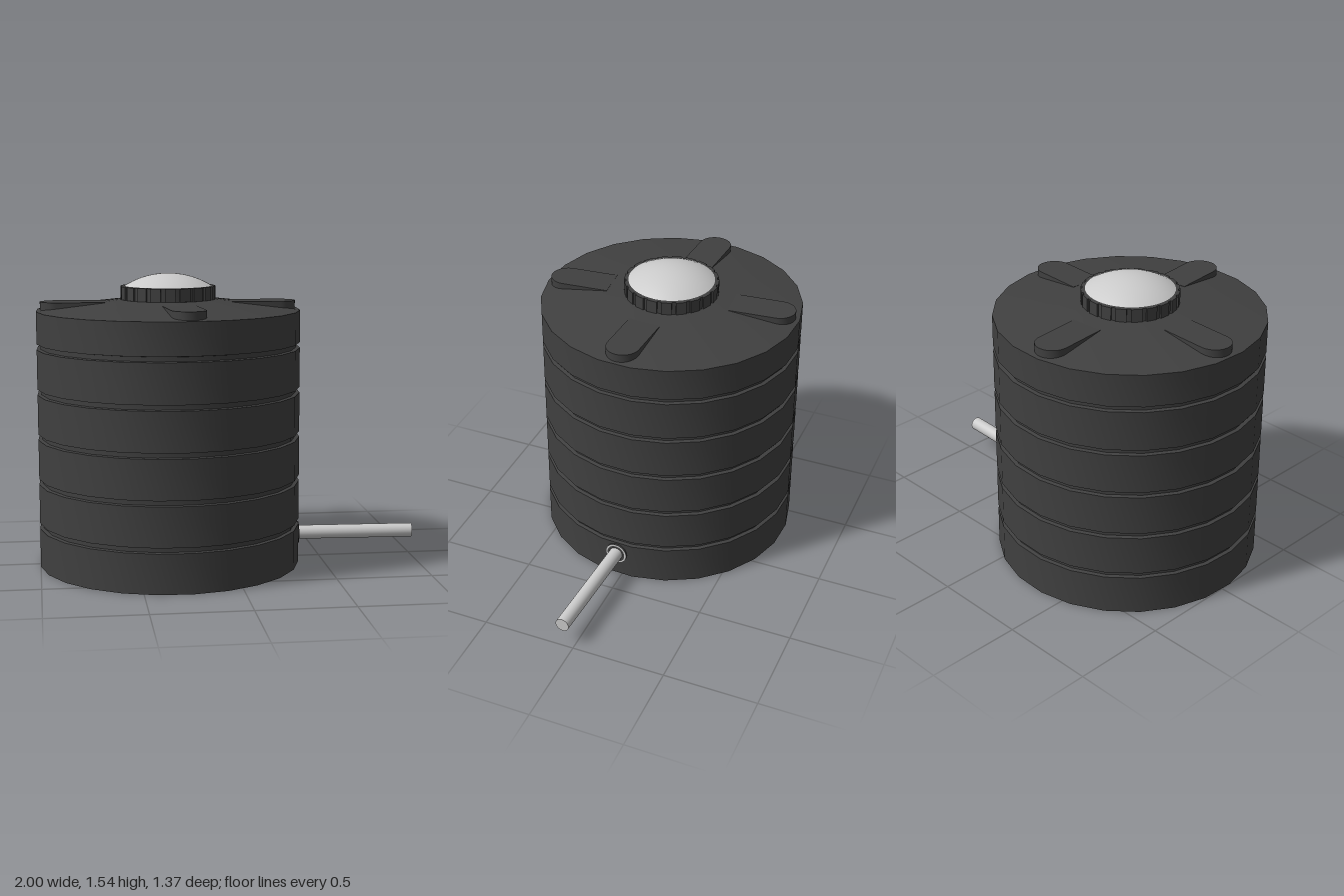
import * as THREE from 'three';
import { toCreasedNormals } from 'three/addons/utils/BufferGeometryUtils.js';

const dark = new THREE.MeshStandardMaterial({ color: 0x404040 });
const grey = new THREE.MeshStandardMaterial({ color: 0xcccccc });
const deg = Math.PI / 180;

function add(parent, name, geometry, material) {
  const mesh = new THREE.Mesh(geometry, material);
  mesh.name = name;
  parent.add(mesh);
  return mesh;
}

function lathe(profile, segments, start = 0) {
  const points = profile.map(([r, y]) => new THREE.Vector2(r, y));
  return toCreasedNormals(new THREE.LatheGeometry(points, segments, start), 0.45);
}

// Group whose local +x points outwards at an angle measured from +x towards +z
function spoke(parent, name, angle) {
  const group = new THREE.Group();
  group.name = name;
  group.rotation.y = -angle * deg;
  parent.add(group);
  return group;
}

export function createModel() {
  const model = new THREE.Group();
  model.name = 'waterTank';
  const tank = new THREE.Group();
  tank.name = 'tank';
  tank.position.x = -0.313;
  model.add(tank);

  // Banded wall with five grooves, closed base and shallow conical roof
  const R = 0.69, grooveR = 0.67;
  const profile = [[0, 0], [R, 0]];
  for (let i = 0; i < 5; i++) {
    const y = 0.207 + i * 0.236;
    profile.push([R, y], [grooveR, y + 0.003], [grooveR, y + 0.026], [R, y + 0.029]);
  }
  profile.push([R, 1.348], [0.25, 1.403], [0, 1.403]);
  add(tank, 'tankBody', lathe(profile, 24, 5 * deg), dark);

  // Flat pads on the roof, rounded at the outer end
  const w = 0.087, inner = 0.33, outer = 0.667;
  const shape = new THREE.Shape();
  shape.moveTo(inner, -w);
  shape.lineTo(outer - w, -w);
  shape.absarc(outer - w, 0, w, -Math.PI / 2, Math.PI / 2, false);
  shape.lineTo(inner, w);
  shape.closePath();
  const padGeometry = toCreasedNormals(
    new THREE.ExtrudeGeometry(shape, { depth: 0.045, bevelEnabled: false, curveSegments: 10 }), 0.5);
  padGeometry.rotateX(-Math.PI / 2);
  [2.5, 85, 182.5, 265].forEach((angle) => {
    const group = spoke(tank, 'roofPadSpoke', angle);
    add(group, 'roofPad', padGeometry, dark).position.y = 1.348;
  });

  // Screw lid: rim, grip ribs and pale dome
  const lid = new THREE.Group();
  lid.name = 'lid';
  tank.add(lid);
  add(lid, 'lidRim', lathe([[0.24, 1.39], [0.24, 1.472], [0.226, 1.474], [0, 1.474]], 40), dark);
  const ribGeometry = new THREE.BoxGeometry(0.02, 0.068, 0.055);
  for (let i = 0; i < 20; i++) {
    const group = spoke(lid, 'gripRibSpoke', i * 18 + 2.5);
    add(group, 'gripRib', ribGeometry, dark).position.set(0.237, 1.438, 0);
  }
  const domeR = 0.228, domeH = 0.065;
  const sphereR = (domeR ** 2 + domeH ** 2) / (2 * domeH);
  const dome = new THREE.SphereGeometry(sphereR, 40, 10, 0, Math.PI * 2, 0, Math.asin(domeR / sphereR));
  add(lid, 'lidDome', dome, grey).position.y = 1.538 - sphereR;

  // Outlet pipe and its wall fitting
  const outlet = spoke(tank, 'outlet', 2.5);
  const pipeStart = 0.66, pipeEnd = 1.313;
  const pipe = new THREE.CylinderGeometry(0.037, 0.037, pipeEnd - pipeStart, 28).rotateZ(-Math.PI / 2);
  add(outlet, 'outletPipe', pipe, grey).position.set((pipeStart + pipeEnd) / 2, 0.138, 0);
  const collar = new THREE.CylinderGeometry(0.06, 0.06, 0.04, 28).rotateZ(-Math.PI / 2);
  add(outlet, 'outletCollar', collar, dark).position.set(0.674, 0.138, 0);
  const ring = new THREE.RingGeometry(0.05, 0.06, 28).rotateY(Math.PI / 2);
  add(outlet, 'outletCollarFace', ring, grey).position.set(0.6955, 0.138, 0);

  return model;
}
